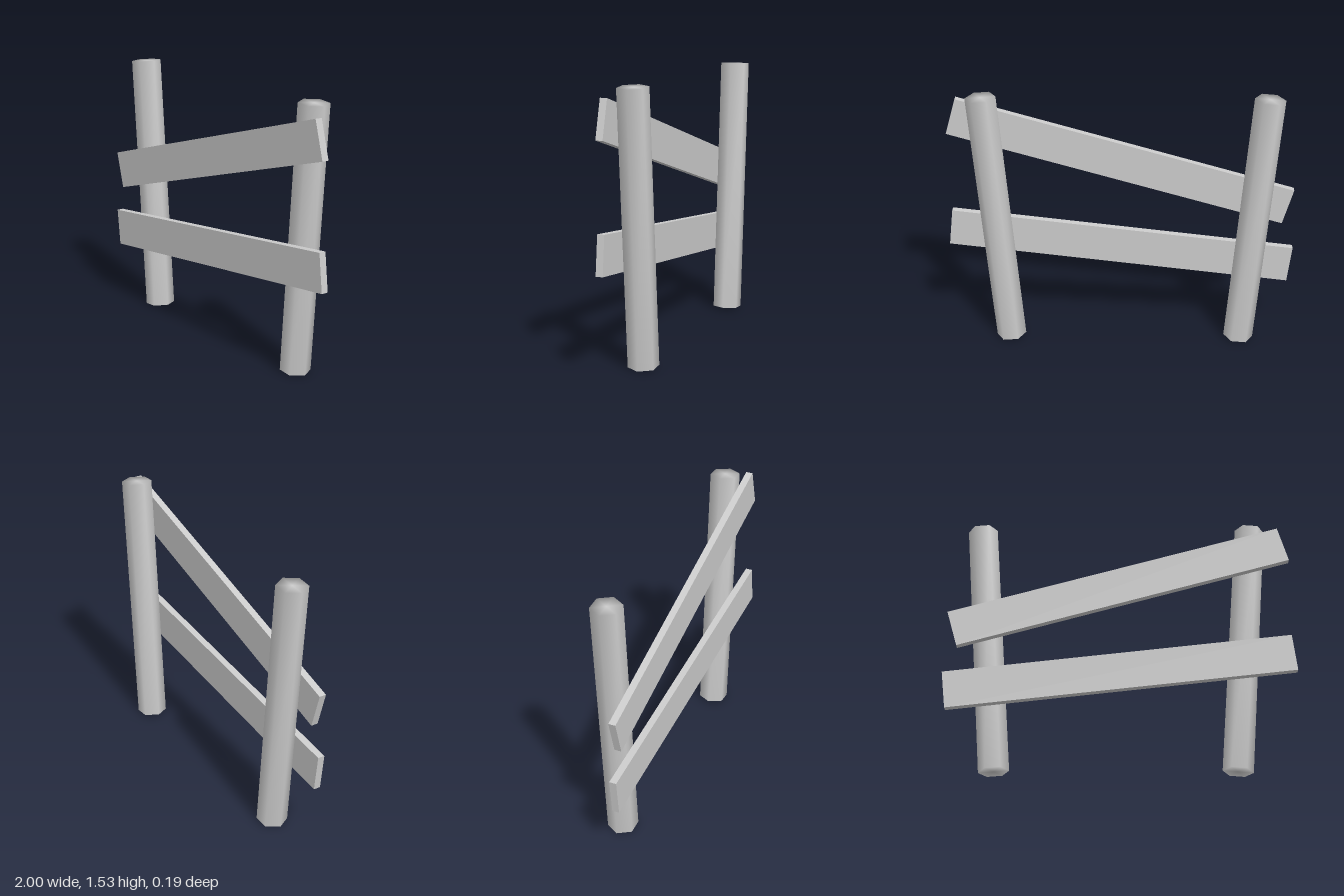
import * as THREE from 'three';
import { mergeVertices } from 'three/addons/utils/BufferGeometryUtils.js';

const material = new THREE.MeshStandardMaterial({ color: 0xcccccc });

// Six-sided post, corners towards +-x, with soft normals shared by sides and caps
function postGeometry(radius, length) {
  const g = new THREE.CylinderGeometry(radius, radius, length, 6, 1, false, Math.PI / 6);
  g.deleteAttribute('normal');
  g.deleteAttribute('uv');
  const merged = mergeVertices(g, 1e-4);
  merged.computeVertexNormals();
  return merged;
}

function addPart(group, name, geometry, x, y, z, angle) {
  const mesh = new THREE.Mesh(geometry, material);
  mesh.name = name;
  mesh.position.set(x, y, z);
  mesh.rotation.z = angle;
  group.add(mesh);
}

export function createModel() {
  const group = new THREE.Group();
  group.name = 'fence';

  // Posts leaning outwards
  const post = postGeometry(0.086, 1.52);
  addPart(group, 'rightPost', post, -0.756, 0.767, -0.02, 0.079);
  addPart(group, 'leftPost', post, 0.71, 0.767, -0.02, -0.079);

  // Slanted boards across the front of the posts
  const board = new THREE.BoxGeometry(1.984, 0.218, 0.04);
  addPart(group, 'upperBoard', board, -0.002, 1.103, 0.075, 0.279);
  addPart(group, 'lowerBoard', board, 0, 0.567, 0.075, 0.115);

  return group;
}
